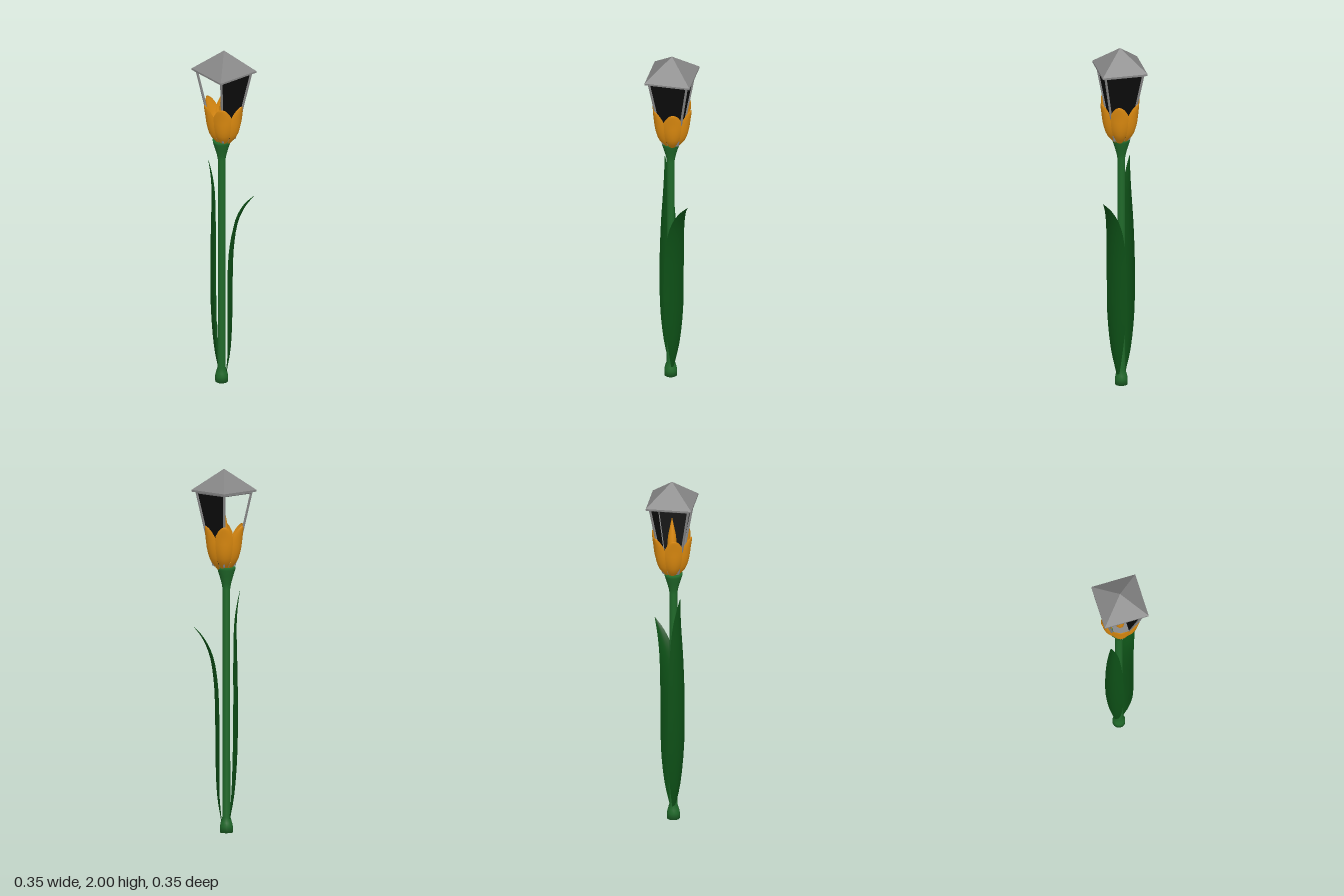
import * as THREE from 'three';

const mat = (name, color, extra = {}) => {
  const m = new THREE.MeshStandardMaterial({ color, ...extra });
  m.name = name;
  return m;
};

// Curved blade: rows of [distance outwards (+z), height, half width]; edges cup back inwards.
function bladeGeometry(rows, cup, lengthSegs = 20, widthSegs = 6) {
  const curve = new THREE.CatmullRomCurve3(rows.map(r => new THREE.Vector3(...r)));
  const geo = new THREE.PlaneGeometry(1, 1, widthSegs, lengthSegs);
  const pos = geo.attributes.position;
  for (let i = 0; i < pos.count; i++) {
    const s = pos.getX(i) * 2;
    const p = curve.getPoint(pos.getY(i) + 0.5);
    pos.setXYZ(i, s * p.z, p.y, p.x - cup * p.z * s * s);
  }
  geo.computeVertexNormals();
  return geo;
}

export function createModel() {
  const group = new THREE.Group();
  const double = { side: THREE.DoubleSide };
  const stemGreen = mat('stem green', 0x20692a);
  const leafGreen = mat('leaf green', 0x0d4f16, double);
  const orange = mat('petal orange', 0xdf8c10, double);
  const metal = mat('grey metal', 0x868686, { flatShading: true });
  const black = mat('black pane', 0x0c0c0c, { side: THREE.DoubleSide, flatShading: true });

  const add = (name, geo, material, x = 0, y = 0, z = 0) => {
    const mesh = new THREE.Mesh(geo, material);
    mesh.name = name;
    mesh.position.set(x, y, z);
    group.add(mesh);
    return mesh;
  };
  const rod = (name, a, b, radius) => {
    const mesh = add(name, new THREE.CylinderGeometry(radius, radius, a.distanceTo(b), 6), metal);
    mesh.position.copy(a).lerp(b, 0.5);
    mesh.quaternion.setFromUnitVectors(new THREE.Vector3(0, 1, 0), b.clone().sub(a).normalize());
  };

  // Stem with a swollen foot and a flared flower cup
  const profile = [[0, 0], [0.035, 0], [0.035, 0.035], [0.031, 0.055], [0.022, 0.085], [0.021, 0.4],
    [0.021, 1.34], [0.026, 1.37], [0.037, 1.41], [0.048, 1.445], [0.05, 1.46], [0, 1.46]];
  add('stem', new THREE.LatheGeometry(profile.map(p => new THREE.Vector2(...p)), 20), stemGreen, -0.013);

  // Two long leaves on either side of the stem
  const leftLeaf = bladeGeometry([[0.015, 0.06, 0.008], [0.037, 0.2, 0.036], [0.046, 0.4, 0.06], [0.048, 0.62, 0.064],
    [0.055, 0.82, 0.06], [0.078, 0.97, 0.046], [0.12, 1.07, 0.024], [0.165, 1.13, 0.002]], 0.35);
  add('leftLeaf', leftLeaf, leafGreen, 0, 0, 0.005).rotation.y = Math.PI / 2;
  const rightLeaf = bladeGeometry([[0.03, 0.06, 0.008], [0.055, 0.2, 0.034], [0.072, 0.42, 0.054], [0.076, 0.7, 0.056],
    [0.072, 0.95, 0.047], [0.069, 1.15, 0.029], [0.077, 1.26, 0.013], [0.087, 1.33, 0.002]], 0.45);
  add('rightLeaf', rightLeaf, leafGreen, 0, 0, -0.008).rotation.y = -Math.PI / 2;

  // Six cupped petals
  const petal = bladeGeometry([[0.04, 1.45, 0.016], [0.079, 1.5, 0.035], [0.098, 1.56, 0.05], [0.107, 1.62, 0.052],
    [0.115, 1.665, 0.034], [0.118, 1.685, 0.018], [0.117, 1.693, 0.004]], 0.5, 14, 8);
  for (let i = 0; i < 6; i++) add('petal', petal, orange).rotation.y = i * Math.PI / 3;

  // Flame inside the lantern
  const flame = [[0, 1.47], [0.022, 1.52], [0.028, 1.6], [0.022, 1.68], [0.01, 1.74], [0, 1.79]];
  add('flame', new THREE.LatheGeometry(flame.map(p => new THREE.Vector2(...p)), 12), orange);

  // Lantern: posts and rails on four corners, two dark panes on the left sides
  const top = 1.875, bottom = 1.47, topR = 0.15, bottomR = 0.058;
  const corner = (i, r, y) => new THREE.Vector3(Math.sin(i * Math.PI / 2) * r, y, Math.cos(i * Math.PI / 2) * r);
  for (let i = 0; i < 4; i++) {
    rod('lanternPost', corner(i, bottomR, bottom), corner(i, topR, top), 0.007);
    rod('lanternRail', corner(i, topR, top - 0.005), corner(i + 1, topR, top - 0.005), 0.006);
  }
  const height = top - bottom;
  add('lanternPanes', new THREE.CylinderGeometry(topR - 0.003, bottomR - 0.003, height, 2, 1, true, 0, Math.PI),
    black, 0, bottom + height / 2);
  add('lanternFloor', new THREE.CylinderGeometry(0.06, 0.055, 0.015, 4), metal, 0, bottom);

  // Pyramid roof on a thin rim
  add('roofRim', new THREE.CylinderGeometry(0.177, 0.177, 0.01, 4), metal, 0, 1.879);
  add('roof', new THREE.ConeGeometry(0.177, 0.116, 4, 1, true), metal, 0, 1.942);

  return group;
}
